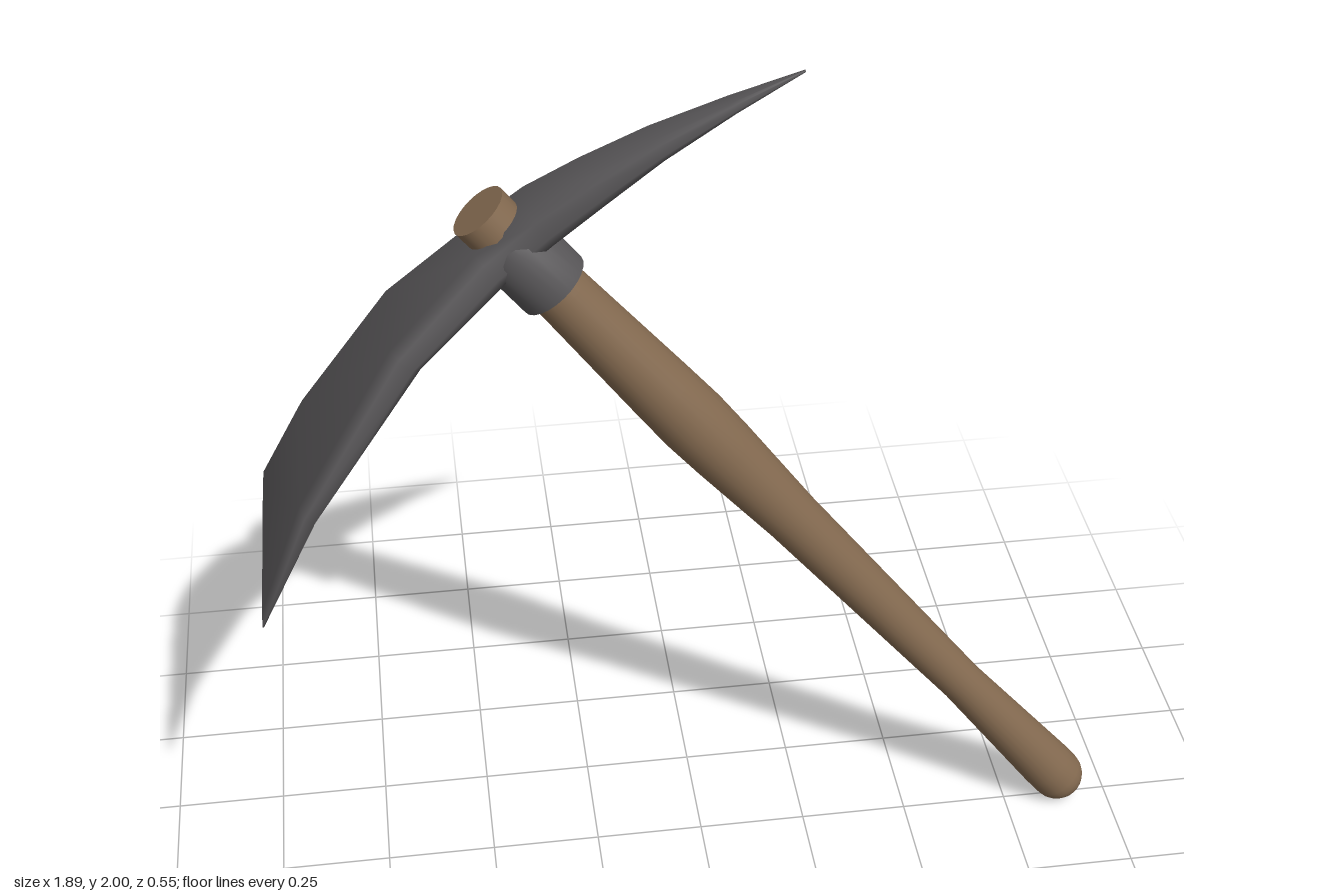
import * as THREE from 'three';
import { toCreasedNormals } from 'three/addons/utils/BufferGeometryUtils.js';

const wood = new THREE.MeshStandardMaterial({ name: 'wood', color: 0x846a50 });
const metal = new THREE.MeshStandardMaterial({ name: 'dark metal', color: 0x585658 });

function lathe(name, profile, material) {
  const points = profile.map(([r, y]) => new THREE.Vector2(r, y));
  const mesh = new THREE.Mesh(toCreasedNormals(new THREE.LatheGeometry(points, 24), 0.8), material);
  mesh.name = name;
  return mesh;
}

// Sweeps a chamfered bar section along stations [x, y, half thickness, half width].
function sweptBar(stations) {
  const section = [[1, -0.82], [1, 0.82], [0.5, 1], [-0.5, 1], [-1, 0.82], [-1, -0.82], [-0.5, -1], [0.5, -1]];
  const n = section.length;
  const last = stations.length - 1;
  const positions = [];
  const index = [];
  stations.forEach(([x, y, t, w], i) => {
    const a = stations[Math.max(i - 1, 0)];
    const b = stations[Math.min(i + 1, last)];
    const tangent = new THREE.Vector2(b[0] - a[0], b[1] - a[1]).normalize();
    for (const [u, v] of section) positions.push(x - tangent.y * t * u, y + tangent.x * t * u, w * v);
  });
  for (let i = 0; i < last; i++) {
    for (let j = 0; j < n; j++) {
      const k = (j + 1) % n;
      const a = i * n + j, b = i * n + k, c = b + n, d = a + n;
      index.push(a, b, c, a, c, d);
    }
  }
  for (let j = 1; j < n - 1; j++) {
    index.push(0, j + 1, j, last * n, last * n + j, last * n + j + 1);
  }
  const geometry = new THREE.BufferGeometry();
  geometry.setAttribute('position', new THREE.Float32BufferAttribute(positions, 3));
  geometry.setIndex(index);
  geometry.computeVertexNormals();
  return geometry;
}

export function createModel() {
  const model = new THREE.Group();
  model.name = 'pickaxe';

  // Leaning shaft: origin at the centre of the rounded butt, axis along local y
  const shaft = new THREE.Group();
  shaft.name = 'shaft';
  shaft.position.set(0.877, 0.063, 0);
  shaft.rotation.z = Math.atan2(0.619, 0.785);
  model.add(shaft);

  // Wooden handle with a rounded butt, a narrow grip and a swell below the collar
  const butt = [];
  for (let i = 0; i <= 6; i++) {
    const a = (i / 6) * Math.PI / 2;
    butt.push([0.063 * Math.sin(a), -0.063 * Math.cos(a)]);
  }
  shaft.add(lathe('handle', [
    ...butt, [0.063, 0.05], [0.05, 0.417], [0.056, 0.75], [0.062, 1.09], [0.074, 1.34],
    [0.077, 1.444], [0.074, 1.55], [0.062, 1.88], [0.064, 2.135], [0, 2.135],
  ], wood));

  // Metal collar around the handle
  shaft.add(lathe('collar', [
    [0.055, 1.905], [0.08, 1.905], [0.08, 2.035], [0.062, 2.085], [0.05, 2.085],
  ], metal));

  // Curved head: wide adze blade on one side, pointed pick on the other
  const head = new THREE.Mesh(sweptBar([
    [-0.945, 0.96, 0.003, 0.275],
    [-0.83, 1.175, 0.023, 0.218],
    [-0.611, 1.478, 0.038, 0.138],
    [-0.43, 1.64, 0.045, 0.077],
    [-0.325, 1.72, 0.045, 0.066],
    [-0.22, 1.786, 0.037, 0.056],
    [-0.09, 1.862, 0.025, 0.041],
    [0.06, 1.935, 0.013, 0.021],
    [0.204, 1.998, 0.002, 0.002],
  ]), metal);
  head.name = 'head';
  model.add(head);

  return model;
}
